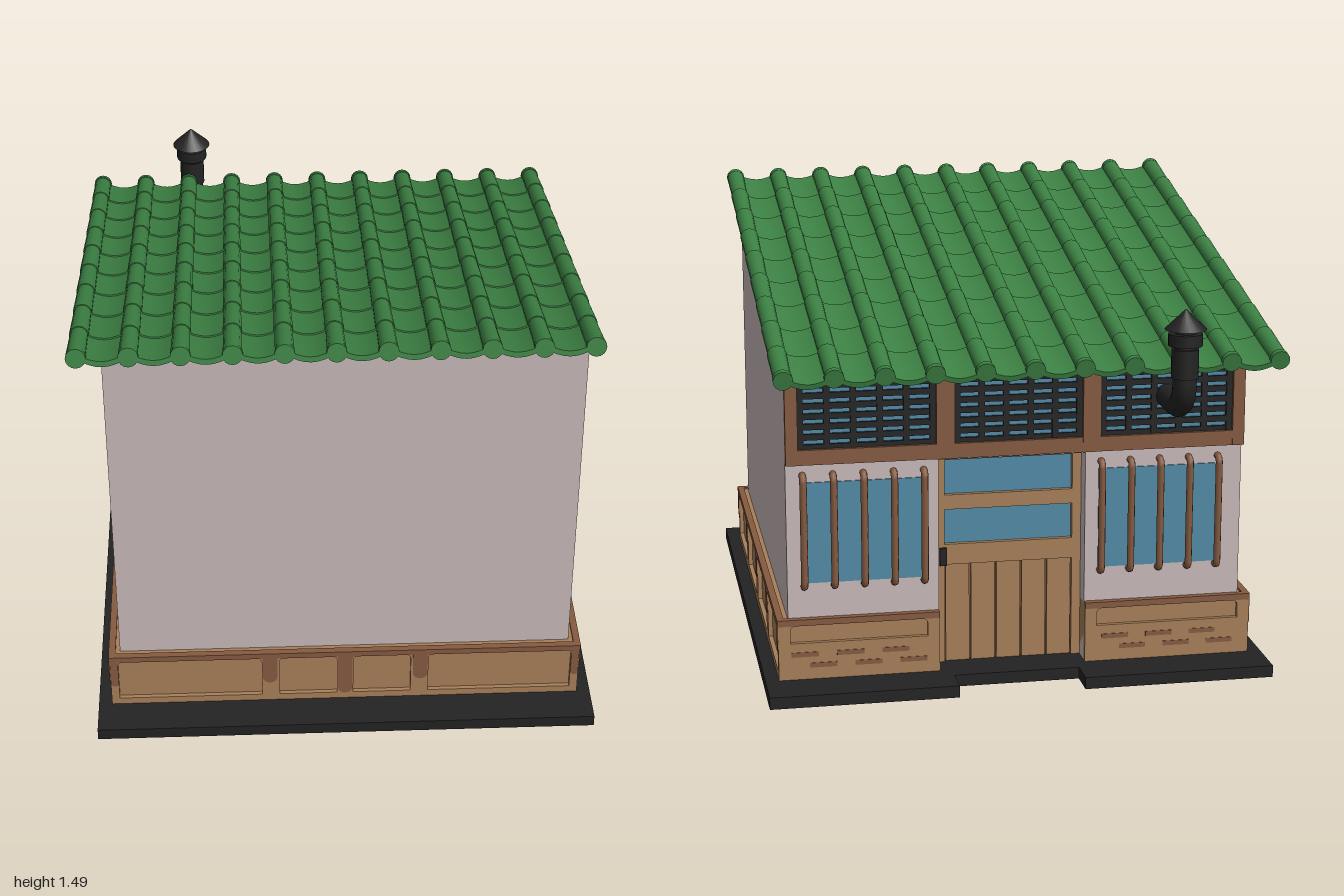
import * as THREE from 'three';
import { toCreasedNormals } from 'three/addons/utils/BufferGeometryUtils.js';

const mat = (name, color) => Object.assign(new THREE.MeshStandardMaterial({ color }), { name });

export function createModel() {
  const model = new THREE.Group();
  const plaster = mat('plaster', 0xc9babb), wood = mat('light wood', 0xa8805a);
  const darkWood = mat('dark wood', 0x865b41), green = mat('green tile', 0x3c8043);
  const black = mat('black', 0x232323), glass = mat('blue glass', 0x528ba8);

  const add = (name, geo, m, parent = model) => {
    const mesh = new THREE.Mesh(geo, m);
    mesh.name = name;
    parent.add(mesh);
    return mesh;
  };
  // Box given by its limits on each axis
  const box = (name, m, x0, x1, y0, y1, z0, z1, parent) => {
    const g = new THREE.BoxGeometry(x1 - x0, y1 - y0, z1 - z0);
    return add(name, g.translate((x0 + x1) / 2, (y0 + y1) / 2, (z0 + z1) / 2), m, parent);
  };
  const poly = (pts) => new THREE.Shape(pts.map((p) => new THREE.Vector2(...p)));
  const extrude = (shape, depth) =>
    new THREE.ExtrudeGeometry(shape, { depth, bevelEnabled: false, curveSegments: 6 });
  const cyl = (name, m, r0, r1, y0, y1, x, z) =>
    add(name, new THREE.CylinderGeometry(r1, r0, y1 - y0, 20).translate(x, (y0 + y1) / 2, z), m);

  // Base slab with a notch at the doorstep (shape y becomes -z)
  const slab = poly([[-0.83, -1], [0.85, -1], [0.85, 0.88], [0.23, 0.88],
    [0.23, 0.78], [-0.19, 0.78], [-0.19, 0.88], [-0.83, 0.88]]);
  add('baseSlab', extrude(slab, 0.04).rotateX(-Math.PI / 2), black);

  // Walls: side profile swept along x, top following the roof
  const roofLine = (z) => 1.24 + 0.216 * z;
  const sweep = (name, zFront, zBack, y0) => {
    const s = poly([[-zFront, y0], [-zBack, y0], [-zBack, roofLine(zBack)], [-zFront, roofLine(zFront)]]);
    add(name, extrude(s, 1.52).rotateY(Math.PI / 2).translate(-0.75, 0, 0), plaster);
  };
  sweep('walls', 0.83, -0.62, 0.04);
  sweep('lintelWall', -0.62, -0.71, 0.76);
  box('bayWall', plaster, 0.27, 0.77, 0.04, 0.76, -0.71, -0.62);
  box('bayWall', plaster, -0.75, -0.22, 0.04, 0.76, -0.71, -0.62);

  // Wainscot core
  box('wainscotCore', wood, -0.77, 0.79, 0.04, 0.24, -0.62, 0.855);
  box('wainscotCore', wood, 0.27, 0.79, 0.04, 0.24, -0.715, -0.62);
  box('wainscotCore', wood, -0.77, -0.22, 0.04, 0.24, -0.715, -0.62);

  const roundedRect = (x0, x1, y0, y1, r) => {
    const p = new THREE.Path();
    p.moveTo(x0, y0).lineTo(x1, y0).lineTo(x1, y1 - r);
    p.quadraticCurveTo(x1, y1, x1 - r, y1).lineTo(x0 + r, y1);
    p.quadraticCurveTo(x0, y1, x0, y1 - r).lineTo(x0, y0);
    return p;
  };
  // Panelled wainscot face: openings [centre, width], brackets [centre, width, bottom]
  const wainscot = (name, width, x, z, turn, openings, brackets, openBottom = 0.065) => {
    const g = new THREE.Group();
    g.name = name;
    g.position.set(x, 0, z);
    g.rotation.y = turn;
    const h = width / 2;
    const s = poly([[-h, 0.04], [h, 0.04], [h, 0.245], [-h, 0.245]]);
    for (const [c, w] of openings) s.holes.push(roundedRect(c - w / 2, c + w / 2, openBottom, 0.225, 0.02));
    add('panelFrame', extrude(s, 0.018).translate(0, 0, -0.018), wood, g);
    box('topRail', darkWood, -h, h, 0.226, 0.247, -0.02, 0.003, g);
    for (const [c, w, bottom] of brackets) {
      const b = new THREE.Shape(), r = w / 2;
      b.moveTo(c - r, 0.227).lineTo(c - r, bottom + r);
      b.absarc(c, bottom + r, r, Math.PI, Math.PI * 2, false);
      b.lineTo(c + r, 0.227);
      add('bracket', extrude(b, 0.003), darkWood, g);
    }
    model.add(g);
    return g;
  };
  wainscot('frontWainscot', 1.59, 0.01, 0.87, 0,
    [[-0.525, 0.485], [-0.125, 0.195], [0.125, 0.195], [0.525, 0.485]],
    [[-0.255, 0.05, 0.12], [0, 0.05, 0.065], [0.255, 0.05, 0.12], [-0.781, 0.026, 0.12], [0.781, 0.026, 0.12]]);
  for (const s of [-1, 1])
    wainscot('sideWainscot', 1.6, 0.01 + s * 0.795, 0.07, s * Math.PI / 2,
      [-0.6, -0.2, 0.2, 0.6].map((c) => [c, 0.34]),
      [[-0.4, 0.055, 0.14], [0, 0.055, 0.14], [0.4, 0.055, 0.14], [-0.787, 0.024, 0.14], [0.787, 0.024, 0.14]]);
  for (const [c, w] of [[0.5375, 0.535], [-0.5025, 0.565]]) {
    const g = wainscot('bayWainscot', w, c, -0.73, Math.PI, [[0, w - 0.08]], [], 0.165);
    for (let i = 0; i < 3; i++) {
      const x = (i - 1) * 0.15;
      box('slot', darkWood, x - 0.075, x + 0.015, 0.118, 0.134, -0.002, 0.002, g);
      box('slot', darkWood, x - 0.015, x + 0.075, 0.08, 0.096, -0.002, 0.002, g);
    }
  }

  // Bay windows with five bent bars each
  const bar = new THREE.CurvePath();
  const v = (y, z) => new THREE.Vector3(0, y, z);
  bar.add(new THREE.LineCurve3(v(0.355, -0.705), v(0.355, -0.72)));
  bar.add(new THREE.QuadraticBezierCurve3(v(0.355, -0.72), v(0.355, -0.737), v(0.375, -0.737)));
  bar.add(new THREE.LineCurve3(v(0.375, -0.737), v(0.71, -0.737)));
  bar.add(new THREE.QuadraticBezierCurve3(v(0.71, -0.737), v(0.73, -0.737), v(0.73, -0.72)));
  bar.add(new THREE.LineCurve3(v(0.73, -0.72), v(0.73, -0.705)));
  const barGeo = new THREE.TubeGeometry(bar, 48, 0.012, 8);
  for (const c of [0.517, -0.47]) {
    box('windowPane', glass, c - 0.205, c + 0.205, 0.365, 0.705, -0.714, -0.708);
    for (let i = -2; i <= 2; i++) add('windowBar', barGeo, darkWood).position.x = c + i * 0.099;
  }

  // Transom: frame, posts and latticed panes
  box('transomRail', darkWood, -0.75, 0.77, 0.77, 0.82, -0.738, -0.7);
  box('transomRail', darkWood, -0.75, 0.77, 1.035, 1.08, -0.738, -0.7);
  const posts = [-0.73, -0.235, 0.25, 0.75];
  posts.forEach((x, i) => {
    const w = i % 3 ? 0.03 : 0.02;
    box('transomPost', darkWood, x - w, x + w, 0.77, 1.08, -0.74, -0.7);
    if (i === 3) return;
    const x0 = x + w, x1 = posts[i + 1] - (i === 2 ? 0.02 : 0.03);
    box('transomPane', glass, x0, x1, 0.82, 1.035, -0.716, -0.708);
    for (let r = 0; r <= 6; r++) {
      const y = 0.825 + r * 0.034;
      box('latticeBar', black, x0, x1, y - 0.01, y + 0.01, -0.726, -0.714);
    }
    for (let k = 0; k <= 5; k++) {
      const bx = x0 + 0.01 + (x1 - x0 - 0.02) * k / 5;
      box('latticeBar', black, bx - 0.01, bx + 0.01, 0.82, 1.035, -0.728, -0.714);
    }
  });

  // Recessed door: glazed above, planked below
  const door = new THREE.Group();
  door.name = 'door';
  model.add(door);
  for (const [y0, y1] of [[0.62, 0.74], [0.45, 0.57]]) box('doorPane', glass, -0.19, 0.24, y0, y1, -0.628, -0.618, door);
  for (const [y0, y1] of [[0.74, 0.76], [0.57, 0.62], [0.38, 0.45]]) box('doorRail', wood, -0.22, 0.27, y0, y1, -0.645, -0.615, door);
  for (const x of [-0.22, 0.24]) box('doorStile', wood, x, x + 0.03, 0.04, 0.76, -0.648, -0.615, door);
  box('doorBacking', darkWood, -0.19, 0.24, 0.04, 0.38, -0.625, -0.615, door);
  for (let i = 0; i < 5; i++)
    box('doorPlank', wood, -0.188 + i * 0.086, -0.108 + i * 0.086, 0.04, 0.385, -0.638, -0.62, door);
  box('doorHandle', black, 0.235, 0.258, 0.38, 0.44, -0.66, -0.645, door);

  // Roof: overlapping rows of wavy tiles with round cover tiles
  const roof = new THREE.Group();
  roof.name = 'roof';
  roof.position.set(0, 1.272, 0);
  roof.rotation.x = -0.2128;
  model.add(roof);
  const rolls = 11, pitch = 0.161, firstX = -0.825, rows = 9, len = 1.785 / rows;
  const top = [], under = [];
  for (let i = 0; i <= (rolls - 1) * 8; i++) {
    const y = 0.012 - 0.026 * Math.sin(Math.PI * (i % 8) / 8);
    top.push([firstX + i * pitch / 8, y]);
    under.unshift([firstX + i * pitch / 8, y - 0.018]);
  }
  const sheetGeo = toCreasedNormals(extrude(poly([...top, ...under]), len).translate(0, 0, -len / 2), 0.5);
  const rollGeo = new THREE.CylinderGeometry(0.0285, 0.0315, len, 14).rotateX(-Math.PI / 2).rotateY(0);
  for (let r = 0; r < rows; r++) {
    const z = -1.785 / 2 + (r + 0.5) * len;
    const sheet = add('tileRow', sheetGeo, green, roof);
    sheet.position.z = z;
    sheet.rotation.x = 0.025;
    sheet.rotation.x *= -1;
    for (let i = 0; i < rolls; i++) add('coverTile', rollGeo, green, roof).position.set(firstX + i * pitch, 0, z);
  }
  // Round end caps along the high eave
  const capGeo = new THREE.CylinderGeometry(0.032, 0.032, 0.02, 16).rotateX(Math.PI / 2);
  for (const z of [-0.884, 0.884])
    for (let i = 0; i < rolls; i++) add('endCap', capGeo, green, roof).position.set(firstX + i * pitch, 0, z);

  // Stove pipe with elbow, vent and conical cap
  const px = -0.49, pz = -0.932;
  const flue = new THREE.CurvePath();
  const p = (y, z) => new THREE.Vector3(px, y, z);
  flue.add(new THREE.LineCurve3(p(0.945, -0.69), p(0.945, -0.84)));
  flue.add(new THREE.CubicBezierCurve3(p(0.945, -0.84), p(0.945, -0.892), p(0.985, pz), p(1.035, pz)));
  flue.add(new THREE.LineCurve3(p(1.035, pz), p(1.06, pz)));
  add('fluePipe', new THREE.TubeGeometry(flue, 40, 0.039, 16), black);
  cyl('flueSleeve', black, 0.044, 0.044, 1.055, 1.15, px, pz);
  cyl('flueCollar', black, 0.055, 0.055, 1.16, 1.2, px, pz);
  cyl('flueCore', black, 0.035, 0.035, 1.14, 1.22, px, pz);
  cyl('flueCap', black, 0.068, 0.002, 1.213, 1.277, px, pz);

  return model;
}
